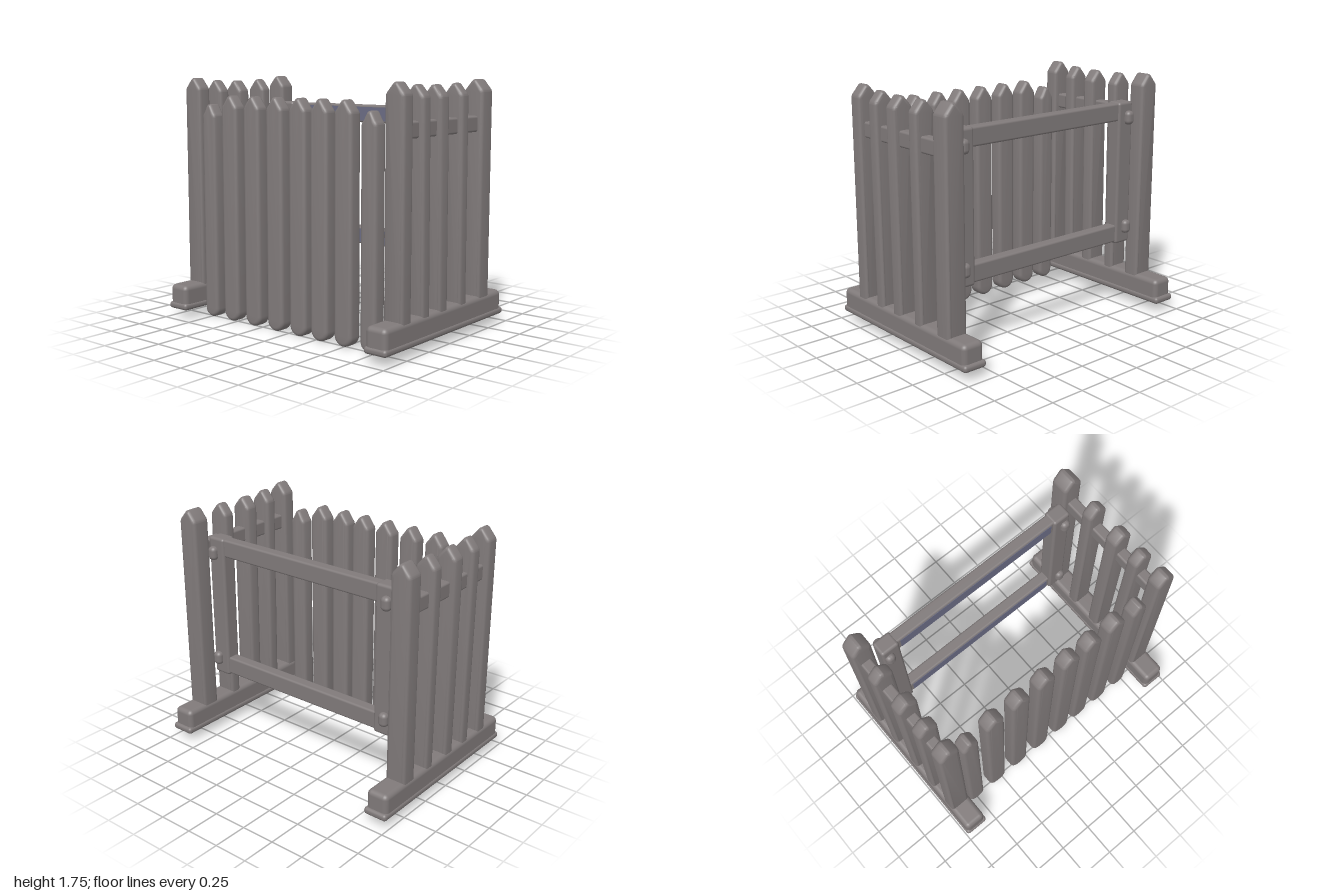
import * as THREE from 'three';
import { toCreasedNormals } from 'three/addons/utils/BufferGeometryUtils.js';
import { RoundedBoxGeometry } from 'three/addons/geometries/RoundedBoxGeometry.js';

const wood = new THREE.MeshStandardMaterial({ color: 0x807a7a });
wood.name = 'greyWood';
const blue = new THREE.MeshStandardMaterial({ color: 0x6a6c84 });
blue.name = 'blueGreyPaint';

function add(parent, name, geometry, x, y, z, material = wood) {
  const mesh = new THREE.Mesh(geometry, material);
  mesh.name = name;
  mesh.position.set(x, y, z);
  parent.add(mesh);
  return mesh;
}

function box(w, h, d, r = 0.015) {
  return new RoundedBoxGeometry(w, h, d, 3, r);
}

// Pointed board: thickness along x, width along z, standing on y = 0
function picketGeometry(height, thickness, width, tip, roundFoot, lean = 0) {
  const bevel = 0.026, h = width / 2;
  const s = new THREE.Shape();
  if (roundFoot) {
    s.moveTo(-h, h);
    s.absarc(0, h, h, Math.PI, Math.PI * 2, false);
  } else {
    s.moveTo(-h, 0);
    s.lineTo(h, 0);
  }
  s.lineTo(h, height - tip - 0.02);
  s.quadraticCurveTo(h, height - tip, h - 0.018, height - tip + 0.018);
  s.lineTo(0.018, height - 0.01);
  s.quadraticCurveTo(0, height + 0.006, -0.018, height - 0.01);
  s.lineTo(-h + 0.018, height - tip + 0.018);
  s.quadraticCurveTo(-h, height - tip, -h, height - tip - 0.02);
  s.closePath();
  const geo = new THREE.ExtrudeGeometry(s, {
    depth: thickness - 2 * bevel, bevelEnabled: true, bevelThickness: bevel,
    bevelSize: bevel, bevelOffset: -bevel, bevelSegments: 4, curveSegments: 8,
  });
  geo.translate(0, 0, -thickness / 2 + bevel);
  geo.rotateY(Math.PI / 2);
  const p = geo.attributes.position;
  for (let i = 0; i < p.count; i++) p.setX(i, p.getX(i) + lean * p.getY(i) / height);
  return toCreasedNormals(geo, 0.7);
}

// End panel: foot, five posts and a cross rail
function endPanel(name, z, lastX, lastWidth) {
  const panel = new THREE.Group();
  panel.name = name;
  panel.position.z = z;
  add(panel, 'foot', box(1.4, 0.17, 0.165, 0.035), -0.01, 0.165, 0);
  add(panel, 'footLip', box(1.43, 0.05, 0.18, 0.022), -0.005, 0.095, 0);
  const posts = [
    // x, thickness, top, lean
    [-0.475, 0.112, 1.76, 0],
    [-0.255, 0.095, 1.74, -0.018],
    [-0.05, 0.105, 1.735, -0.015],
    [0.19, 0.093, 1.74, -0.012],
    [lastX, lastWidth, 1.76, 0],
  ];
  for (const [x, t, top, lean] of posts) {
    add(panel, 'post', picketGeometry(top - 0.15, t, 0.152, 0.075, false, lean), x, 0.15, 0);
  }
  add(panel, 'crossRail', box(0.94, 0.11, 0.08), -0.02, 1.455, 0);
  return panel;
}

export function createModel() {
  const model = new THREE.Group();
  model.name = 'picketPen';

  model.add(endPanel('frontPanel', 0.905, 0.46, 0.142));
  model.add(endPanel('backPanel', -0.905, 0.425, 0.13));

  // Row of loose pickets on one side
  const fence = new THREE.Group();
  fence.name = 'sideFence';
  const places = [0.705, 0.495, 0.29, 0.1, -0.11, -0.325, -0.54, -0.745];
  places.forEach((z, i) => {
    const outer = i === 0 || i === places.length - 1;
    add(fence, 'picket', picketGeometry(outer ? 1.57 : 1.635, 0.11, outer ? 0.13 : 0.148, 0.08, true), -0.475, 0.005, z);
  });
  model.add(fence);

  // Open frame on the other side
  const frame = new THREE.Group();
  frame.name = 'sideFrame';
  for (const y of [1.495, 0.583]) {
    add(frame, 'rail', box(0.085, 0.13, 1.6), 0.362, y, 0);
    add(frame, 'railPaint', new THREE.BoxGeometry(0.004, 0.1, 1.3), 0.3185, y, 0, blue);
  }
  for (const side of [1, -1]) {
    add(frame, 'upright', box(0.115, 1.06, 0.14, 0.02), 0.36, 1.035, side * 0.738);
    for (const y of [1.45, 0.63]) {
      add(frame, 'peg', box(0.19, 0.1, 0.07, 0.03), 0.362, y, side * 0.76);
    }
  }
  model.add(frame);

  return model;
}
